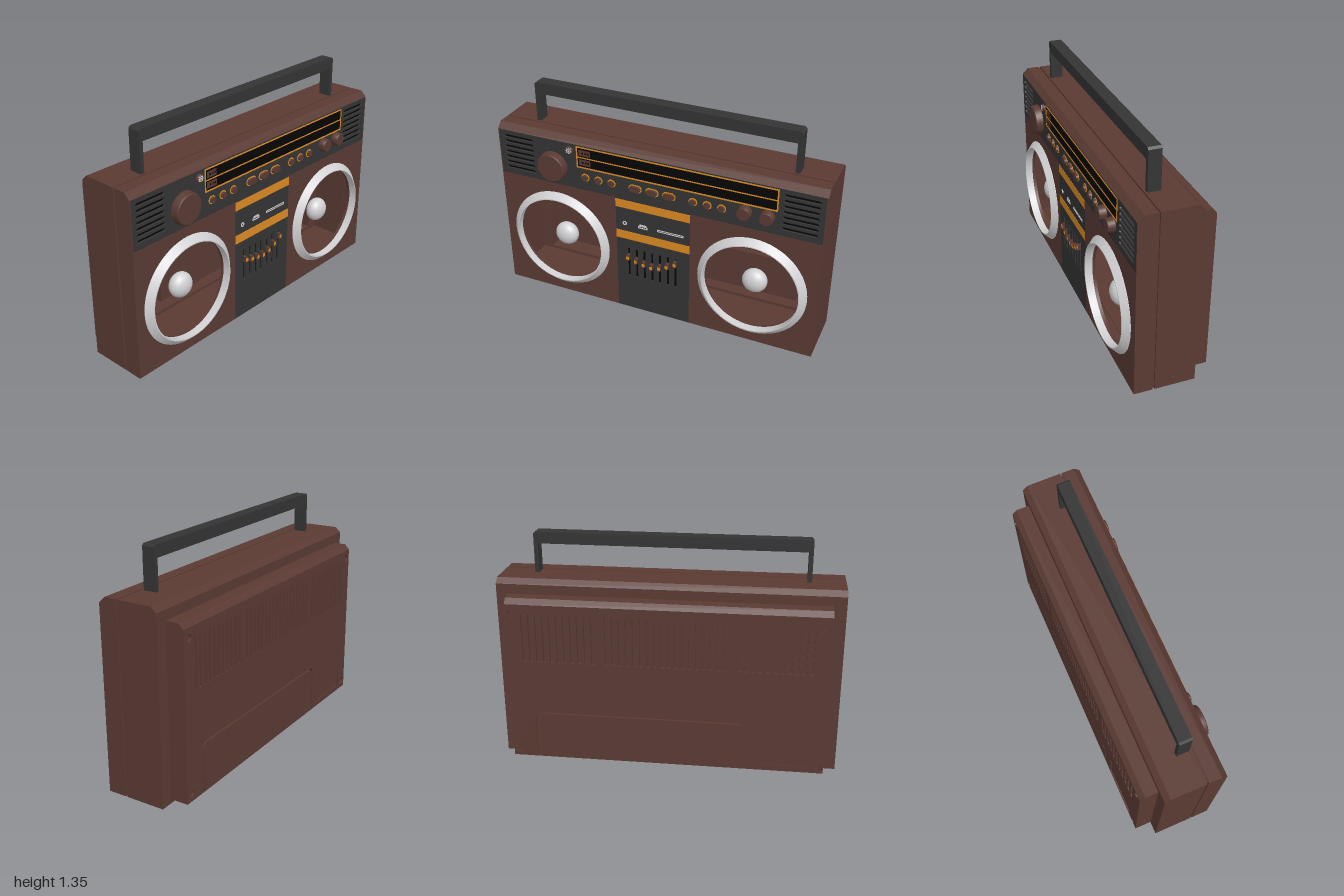
import * as THREE from 'three';
import { toCreasedNormals } from 'three/addons/utils/BufferGeometryUtils.js';

const mat = (name, color) => {
  const m = new THREE.MeshStandardMaterial({ color });
  m.name = name;
  return m;
};

export function createModel() {
  const brown = mat('brown plastic', 0x5a3a33);
  const dark = mat('charcoal plastic', 0x343434);
  const black = mat('black', 0x060505);
  const orange = mat('orange', 0xdc8a22);
  const silver = mat('silver', 0xd2d2d4);
  const root = new THREE.Group();

  // ---- helpers ----
  const add = (name, geo, m) => {
    const mesh = new THREE.Mesh(geo, m);
    mesh.name = name;
    root.add(mesh);
    return mesh;
  };
  const box = (name, m, x0, x1, y0, y1, z0, z1) => {
    const g = new THREE.BoxGeometry(x1 - x0, y1 - y0, z1 - z0);
    g.translate((x0 + x1) / 2, (y0 + y1) / 2, (z0 + z1) / 2);
    return add(name, g, m);
  };
  const poly = (pts, T = THREE.Shape) => new T(pts.map(([x, y]) => new THREE.Vector2(x, y)));
  const rect = (x0, x1, y0, y1, T) => poly([[x0, y0], [x1, y0], [x1, y1], [x0, y1]], T);
  const circle = (x, y, r, T = THREE.Path) => new T().absarc(x, y, r, 0, Math.PI * 2);
  const plate = (name, m, shape, holes, z0, z1, curveSegments = 32) => {
    shape.holes.push(...holes);
    const g = new THREE.ExtrudeGeometry(shape, { depth: z1 - z0, bevelEnabled: false, curveSegments });
    g.translate(0, 0, z0);
    return add(name, g, m);
  };
  // closed (z, y) section swept along x
  const beam = (name, m, section, x0, x1) => {
    const g = new THREE.ExtrudeGeometry(poly(section.map(([z, y]) => [-z, y])), { depth: x1 - x0, bevelEnabled: false });
    g.rotateY(Math.PI / 2).translate(x0, 0, 0);
    return add(name, g, m);
  };
  // profile of [radius, z] turned about the z axis
  const turned = (name, m, profile, x, y, seg = 32) => {
    let g = new THREE.LatheGeometry(profile.map(([r, z]) => new THREE.Vector2(r, z)), seg);
    g = toCreasedNormals(g.rotateX(Math.PI / 2), 0.5);
    return add(name, g.translate(x, y, 0), m);
  };
  // rounded-end outline
  const pill = (x, y, w, r, T = THREE.Shape) => new T()
    .absarc(x + w, y, r, -Math.PI / 2, Math.PI / 2).absarc(x - w, y, r, Math.PI / 2, Math.PI * 1.5);

  // ---- hollow cabinet, split by a groove ----
  beam('topFront', brown, [[0.1, 1.105], [0.175, 1.105], [0.21, 1.07], [0.1, 1.07]], -1, 1);
  beam('topRear', brown, [[0.09, 1.105], [-0.115, 1.105], [-0.147, 1.075], [-0.147, 1.06], [0.09, 1.06]], -1, 1);
  box('bottomFront', brown, -0.97, 0.97, 0, 0.03, 0.1, 0.18);
  box('bottomRear', brown, -0.97, 0.97, 0, 0.03, -0.147, 0.09);
  plate('grooveLiner', brown, rect(-0.99, 0.99, 0.01, 1.095), [rect(-0.965, 0.965, 0.035, 1.055, THREE.Path)], 0.08, 0.11);
  plate('rearStep', brown, rect(-0.97, 0.97, 0, 1.06), [rect(-0.9, 0.9, 0.05, 0.99, THREE.Path)], -0.147, -0.125);
  for (const s of [-1, 1]) {
    const side = (w, y1, z0, z1) => box('sideWall', brown, s > 0 ? 1 - w : -1, s > 0 ? 1 : -1 + w, 0, y1, z0, z1);
    side(0.03, 1.07, 0.1, 0.18);
    side(0.006, 1.07, 0.18, 0.21);
    side(0.03, 1.06, -0.147, 0.09);
  }

  // ---- rear housing ----
  beam('rearTop', brown, [[-0.125, 1.018], [-0.222, 1.018], [-0.252, 0.988], [-0.23, 0.988], [-0.125, 0.988]], -0.925, 0.925);
  box('rearBottom', brown, -0.9, 0.9, 0.023, 0.05, -0.23, -0.125);
  box('rearSideRight', brown, -0.925, -0.9, 0.023, 0.988, -0.23, -0.125);
  box('rearSideLeft', brown, 0.9, 0.925, 0.023, 0.988, -0.23, -0.125);

  // vents: brown floor seen from behind, dark slots seen from inside
  const rearHoles = [];
  for (const [x0, x1, n] of [[-0.835, -0.41, 11], [-0.35, 0.35, 18], [0.41, 0.835, 11]]) {
    for (let i = 0; i < n; i++) {
      const x = x0 + 0.01 + (i * (x1 - x0 - 0.02)) / (n - 1);
      rearHoles.push(rect(x - 0.01, x + 0.01, 0.64, 0.93, THREE.Path));
      add('ventSlotInside', new THREE.PlaneGeometry(0.02, 0.29).translate(x, 0.785, -0.226), black);
    }
    box('ventFloor', brown, x0 - 0.01, x1 + 0.01, 0.63, 0.94, -0.232, -0.228);
  }
  const door = (x0, x1, y0, y1, r, T) => new T().moveTo(x0, y0).lineTo(x1, y0).lineTo(x1, y1 - r)
    .absarc(x1 - r, y1 - r, r, 0, Math.PI / 2).absarc(x0 + r, y1 - r, r, Math.PI / 2, Math.PI);
  rearHoles.push(door(-0.455, 0.78, 0.03, 0.32, 0.04, THREE.Path));
  rearHoles.push(rect(-0.83, -0.53, 0.06, 0.36, THREE.Path));
  for (const x of [-0.885, 0.885]) for (const y of [0.068, 0.935]) {
    rearHoles.push(circle(x, y, 0.022));
    plate('screw', brown, circle(x, y, 0.024, THREE.Shape), [], -0.24, -0.229, 12);
  }
  plate('rearPanel', brown, rect(-0.925, 0.925, 0.023, 0.988), rearHoles, -0.252, -0.23, 12);
  plate('batteryDoor', brown, door(-0.445, 0.77, 0.03, 0.31, 0.034, THREE.Shape), [], -0.252, -0.236, 12);
  plate('batteryCompartment', brown, door(-0.46, 0.785, 0.028, 0.325, 0.042, THREE.Shape), [], -0.237, -0.195, 12);
  box('labelRecess', brown, -0.835, -0.525, 0.055, 0.365, -0.246, -0.228);

  // ---- handle ----
  plate('handle', dark, poly([[-0.805, 1.1], [-0.78, 1.1], [-0.78, 1.28], [0.78, 1.28], [0.78, 1.1], [0.805, 1.1],
    [0.805, 1.338], [0.793, 1.35], [-0.793, 1.35], [-0.805, 1.338]]), [], 0.004, 0.079);

  // ---- speakers ----
  for (const s of [-1, 1]) {
    const x = s * 0.615;
    plate('speakerPanel', brown, s > 0 ? rect(0.235, 0.994, 0, 0.78) : rect(-0.994, -0.235, 0, 0.78),
      [circle(x, 0.39, 0.29)], 0.18, 0.21, 48);
    turned('speakerRing', silver, [[0.29, 0.2], [0.329, 0.2], [0.329, 0.212], [0.294, 0.247], [0.288, 0.247], [0.288, 0.2]], x, 0.39, 64);
    const dome = add('speakerDome', new THREE.SphereGeometry(0.075, 32, 20), silver);
    dome.scale.z = 0.75;
    dome.position.set(x, 0.39, 0.143);
  }

  // ---- upper control panel with side grilles ----
  const grille = [];
  for (const s of [-1, 1]) {
    for (let i = 0; i < 7; i++) {
      const y = 0.825 + i * 0.0345;
      grille.push(pill(s * 0.865, y, 0.089, 0.01, THREE.Path));
    }
    box('grilleShade', black, s * 0.865 - 0.102, s * 0.865 + 0.102, 0.81, 1.045, 0.178, 0.196);
  }
  plate('controlPanel', dark, rect(-0.994, 0.994, 0.78, 1.07), grille, 0.18, 0.21, 6);

  // ---- tuning dial ----
  plate('dialFrame', orange, rect(-0.478, 0.738, 0.924, 1.062), [rect(-0.47, 0.73, 0.933, 1.054, THREE.Path)], 0.209, 0.2125);
  box('dialBase', black, -0.47, 0.73, 0.933, 1.054, 0.209, 0.2105);
  box('dialDivider', orange, -0.47, 0.73, 0.989, 0.996, 0.209, 0.2125);
  for (const y of [0.943, 1.004]) {
    box('bandLabel', brown, -0.462, -0.388, y, y + 0.038, 0.209, 0.212);
    for (const x of [-0.437, -0.417, -0.4]) box('bandMark', black, x - 0.005, x + 0.004, y + 0.013, y + 0.025, 0.212, 0.2125);
  }

  // ---- knobs and buttons ----
  const knob = (name, x, y, r, z) => turned(name, brown,
    [[r, 0.208], [r, 0.22], [r * 0.94, z - 0.004], [r * 0.88, z], [0, z]], x, y, 40);
  knob('tuningKnob', -0.635, 0.9, 0.094, 0.255);
  knob('volumeKnob', 0.555, 0.882, 0.041, 0.252);
  knob('toneKnob', 0.685, 0.882, 0.041, 0.252);
  turned('indicator', brown, [[0.025, 0.208], [0.025, 0.22], [0.02, 0.224], [0, 0.224]], -0.52, 1.027, 20);
  for (let i = 0; i < 8; i++) {
    const a = (i * Math.PI) / 4;
    const dot = circle(-0.52 + Math.cos(a) * 0.014, 1.027 + Math.sin(a) * 0.014, 0.0048, THREE.Shape);
    plate('indicatorDot', silver, dot, [], 0.222, 0.2248, 6);
  }
  plate('indicatorCentre', silver, circle(-0.52, 1.027, 0.006, THREE.Shape), [], 0.222, 0.2248, 6);
  const button = (x, w, r) => {
    plate('buttonRing', orange, pill(x, 0.866, w, r + 0.007), [pill(x, 0.866, w, r, THREE.Path)], 0.209, 0.212, 12);
    plate('button', brown, pill(x, 0.866, w, r), [], 0.208, 0.225, 12);
  };
  for (const x of [-0.425, -0.34, -0.256, 0.25, 0.335, 0.42]) button(x, 0.001, 0.018);
  for (const x of [-0.105, 0, 0.105]) button(x, 0.016, 0.018);

  // ---- centre panel with equaliser ----
  const levels = [0.38, 0.365, 0.355, 0.348, 0.358, 0.382, 0.412];
  const slots = levels.map((_, i) => rect(-0.166 + i * 0.0505, -0.148 + i * 0.0505, 0.24, 0.445, THREE.Path));
  plate('centrePanel', dark, rect(-0.235, 0.235, 0, 0.78), slots, 0.18, 0.21);
  box('sliderShade', black, -0.18, 0.17, 0.23, 0.455, 0.178, 0.198);
  levels.forEach((y, i) => {
    const x = -0.157 + i * 0.0505;
    box('slider', brown, x - 0.009, x + 0.009, y - 0.018, y + 0.018, 0.19, 0.228);
    box('sliderMark', orange, x - 0.009, x + 0.009, y - 0.01, y + 0.01, 0.228, 0.23);
  });
  box('upperTrim', orange, -0.235, 0.235, 0.72, 0.774, 0.207, 0.2115);
  box('lowerTrim', orange, -0.235, 0.235, 0.507, 0.562, 0.207, 0.2115);

  // ---- sockets ----
  plate('roundSocket', silver, circle(-0.178, 0.615, 0.014, THREE.Shape), [circle(-0.178, 0.615, 0.007)], 0.209, 0.212, 16);
  plate('squareSocket', silver, poly([[-0.092, 0.603], [-0.03, 0.603], [-0.03, 0.615], [-0.042, 0.63], [-0.08, 0.63], [-0.092, 0.615]]),
    [rect(-0.083, -0.039, 0.609, 0.616, THREE.Path)], 0.209, 0.212);
  plate('cardSocket', silver, rect(0.03, 0.195, 0.608, 0.623), [rect(0.036, 0.189, 0.613, 0.618, THREE.Path)], 0.209, 0.212);

  return root;
}
